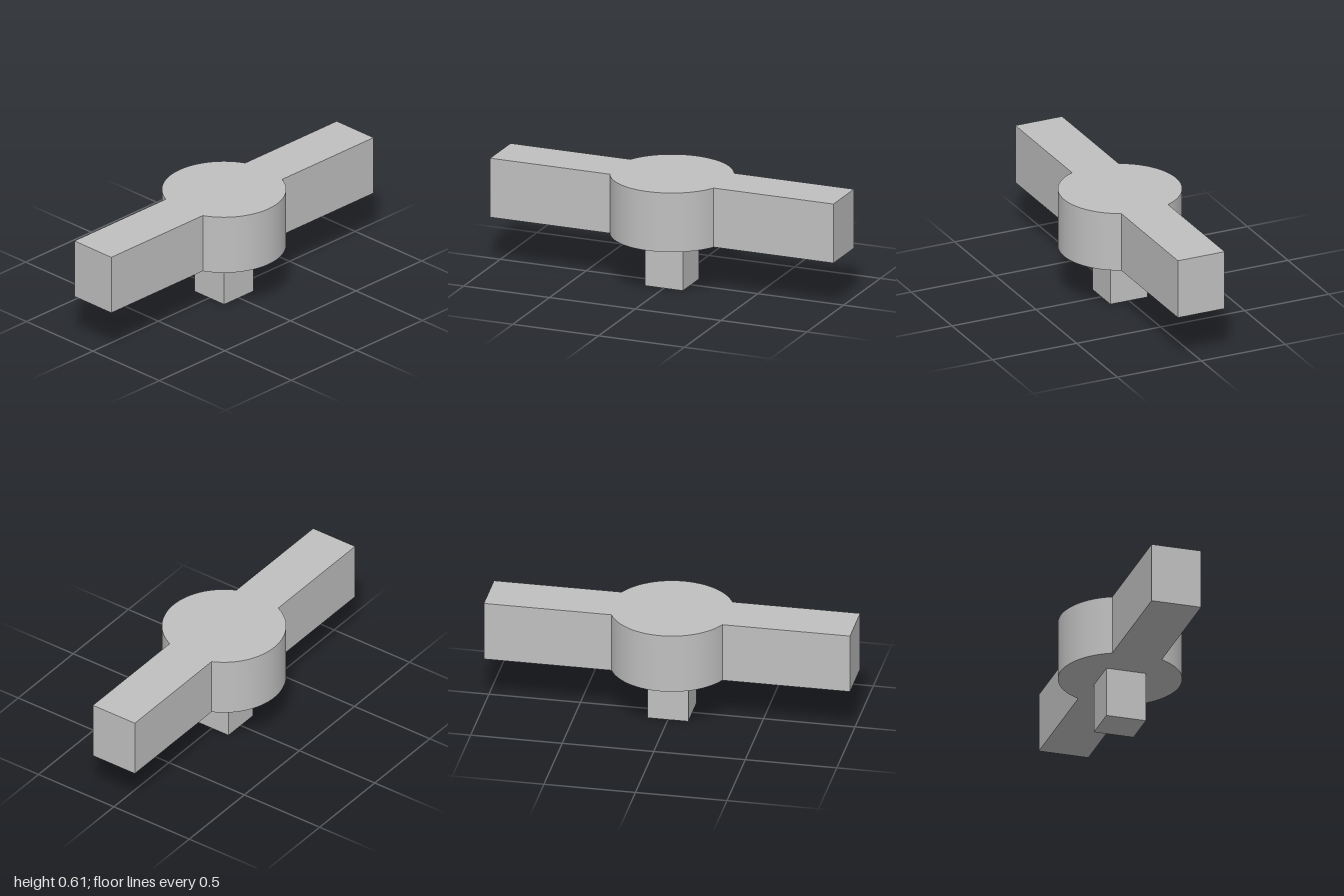
import * as THREE from 'three';
import { toCreasedNormals } from 'three/addons/utils/BufferGeometryUtils.js';

export function createModel() {
  const model = new THREE.Group();
  const grey = new THREE.MeshStandardMaterial({ color: 0xc0c0c0 });
  grey.name = 'plain grey';

  const radius = 0.333; // round hub
  const half = 0.139; // half width of the arms
  const base = 0.279; // underside of hub and arms
  const thickness = 0.333;
  const pegWidth = 0.222;

  // Round hub and both arms share one outline
  const a = Math.asin(half / radius);
  const outline = new THREE.Shape();
  outline.moveTo(1, -half);
  outline.lineTo(1, half);
  outline.absarc(0, 0, radius, a, Math.PI - a, false);
  outline.lineTo(-1, half);
  outline.lineTo(-1, -half);
  outline.absarc(0, 0, radius, Math.PI + a, 2 * Math.PI - a, false);
  outline.closePath();
  const bodyGeometry = new THREE.ExtrudeGeometry(outline, {
    depth: thickness, bevelEnabled: false, curveSegments: 32,
  });
  bodyGeometry.rotateX(-Math.PI / 2);
  const body = new THREE.Mesh(toCreasedNormals(bodyGeometry, 0.5), grey);
  body.name = 'hubWithArms';
  body.position.y = base;
  model.add(body);

  // Square peg below the hub
  const peg = new THREE.Mesh(new THREE.BoxGeometry(pegWidth, base, pegWidth), grey);
  peg.name = 'squarePeg';
  peg.position.y = base / 2;
  model.add(peg);

  return model;
}
